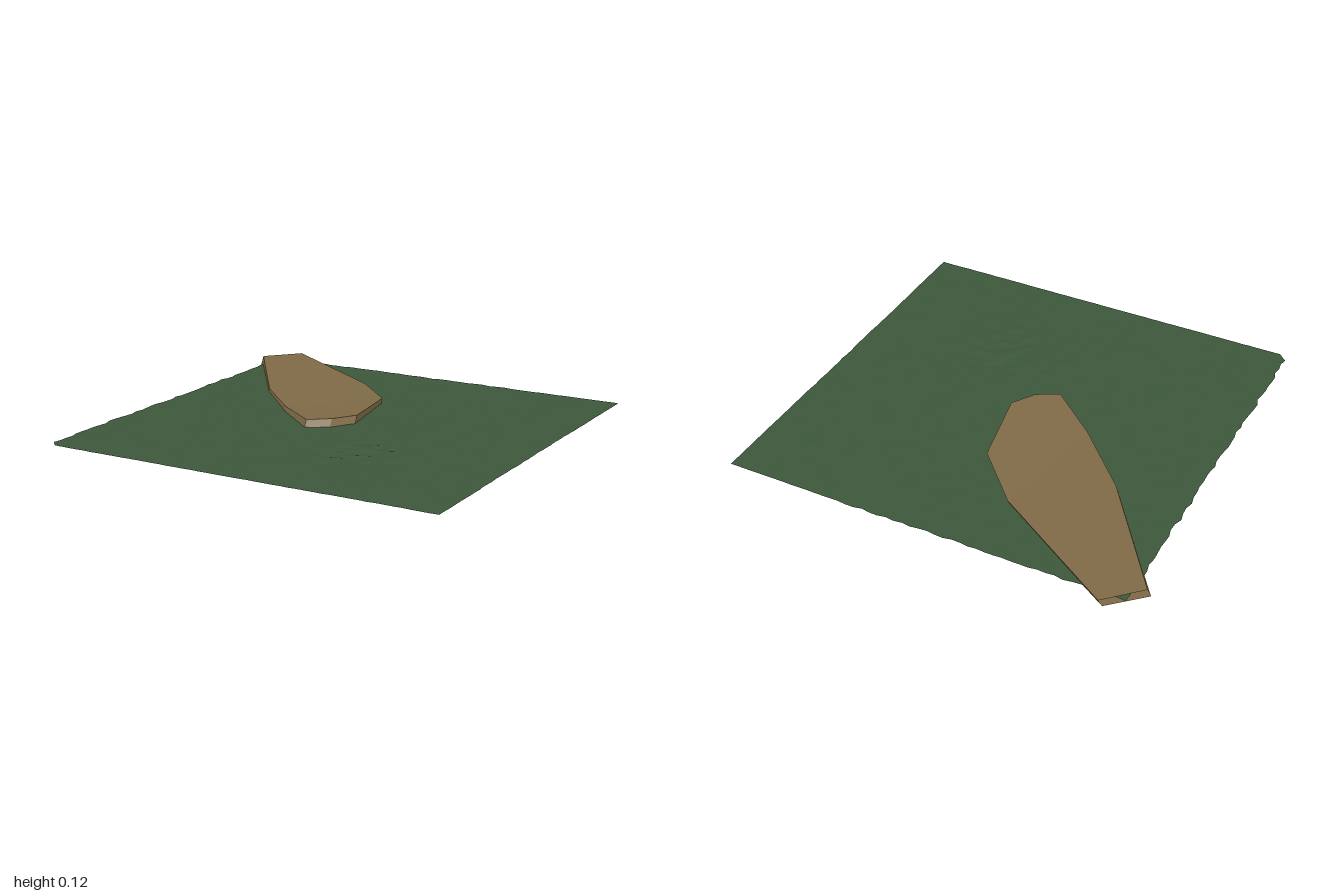
import * as THREE from 'three';

// Outline of the slab: x, z, top height, bottom height (clockwise from the back)
const OUTLINE = [
  [-0.84, -1.0, 0.108, 0.028],
  [-0.23, -0.61, 0.1, 0.008],
  [0.0, -0.37, 0.108, 0.016],
  [0.07, 0.0, 0.12, 0.034],
  [0.0, 0.11, 0.12, 0.032],
  [-0.1, 0.17, 0.116, 0.03],
  [-0.33, -0.02, 0.104, 0.01],
  [-0.6, -0.3, 0.096, 0.0],
  [-0.99, -0.85, 0.105, 0.02],
];

// Repeatable value in -1..1 for a grid position
function noise(i, j) {
  const s = Math.sin(i * 127.1 + j * 311.7) * 43758.5453;
  return (s - Math.floor(s)) * 2 - 1;
}

function facets(name, points, index, material) {
  const geometry = new THREE.BufferGeometry();
  geometry.setAttribute('position', new THREE.Float32BufferAttribute(points.flat(), 3));
  geometry.setIndex(index);
  const flat = geometry.toNonIndexed();
  flat.computeVertexNormals();
  const mesh = new THREE.Mesh(flat, material);
  mesh.name = name;
  return mesh;
}

// Hollow slab: top, bottom and leaning walls, open at the back corner
function createSlab() {
  const material = new THREE.MeshStandardMaterial({
    color: 0x7f6a46, flatShading: true, side: THREE.DoubleSide,
  });
  const top = OUTLINE.map(([x, z, y]) => [x, y, z]);
  const bottom = OUTLINE.map(([x, z, , y]) => [x + 0.005, y, z + 0.055]);
  const n = OUTLINE.length;

  // Strips across the slab, from the back to the nose
  const cap = [];
  for (let i = 0; i < 3; i++) {
    const l = n - 1 - i;
    cap.push(i, l, l - 1, i, l - 1, i + 1);
  }
  cap.push(3, 5, 4);

  const walls = [];
  for (let i = 0; i < n - 1; i++) {
    walls.push(i, i + 1, n + i + 1, i, n + i + 1, n + i);
  }

  const slab = new THREE.Group();
  slab.name = 'slab';
  slab.add(
    facets('slabTop', top, cap, material),
    facets('slabBottom', bottom, [...cap].reverse(), material),
    facets('slabWalls', [...top, ...bottom], walls, material),
  );
  return slab;
}

// Thin ground sheet with ragged edges and faint bumps
function createGroundSheet() {
  const N = 48;
  const geometry = new THREE.PlaneGeometry(1.92, 1.92, N, N);
  geometry.rotateX(-Math.PI / 2);
  geometry.translate(0.03, 0.085, 0.03);
  const p = geometry.attributes.position;
  for (let k = 0; k < p.count; k++) {
    const i = k % (N + 1);
    const j = Math.floor(k / (N + 1));
    let x = p.getX(k);
    let z = p.getZ(k);
    // bumps are strongest towards the front
    const bump = 0.0008 + 0.004 * Math.exp(-((x - 0.3) ** 2 + (z - 0.42) ** 2) / 0.04);
    p.setY(k, 0.085 + bump * noise(i, j));
    // ragged left-hand and back borders
    if (i === 0 && j > 0 && j < N) x += 0.008 * noise(j, 3);
    if (i === N && j > N / 3 && j < N * 0.8) x -= 0.004 * Math.abs(noise(j, 5));
    if (j === 0 && i > 0 && i < N * 0.7) z += 0.006 * noise(i, 7);
    // clipped front corner
    const cut = (z - x) - 1.88;
    if (cut > 0) {
      x += cut / 2;
      z -= cut / 2;
    }
    p.setX(k, x);
    p.setZ(k, z);
  }
  geometry.computeVertexNormals();
  const sheet = new THREE.Mesh(geometry, new THREE.MeshStandardMaterial({
    color: 0x3c573b, flatShading: true, side: THREE.DoubleSide,
  }));
  sheet.name = 'groundSheet';
  return sheet;
}

export function createModel() {
  const model = new THREE.Group();
  model.name = 'slabOnGround';
  model.add(createGroundSheet(), createSlab());
  return model;
}
